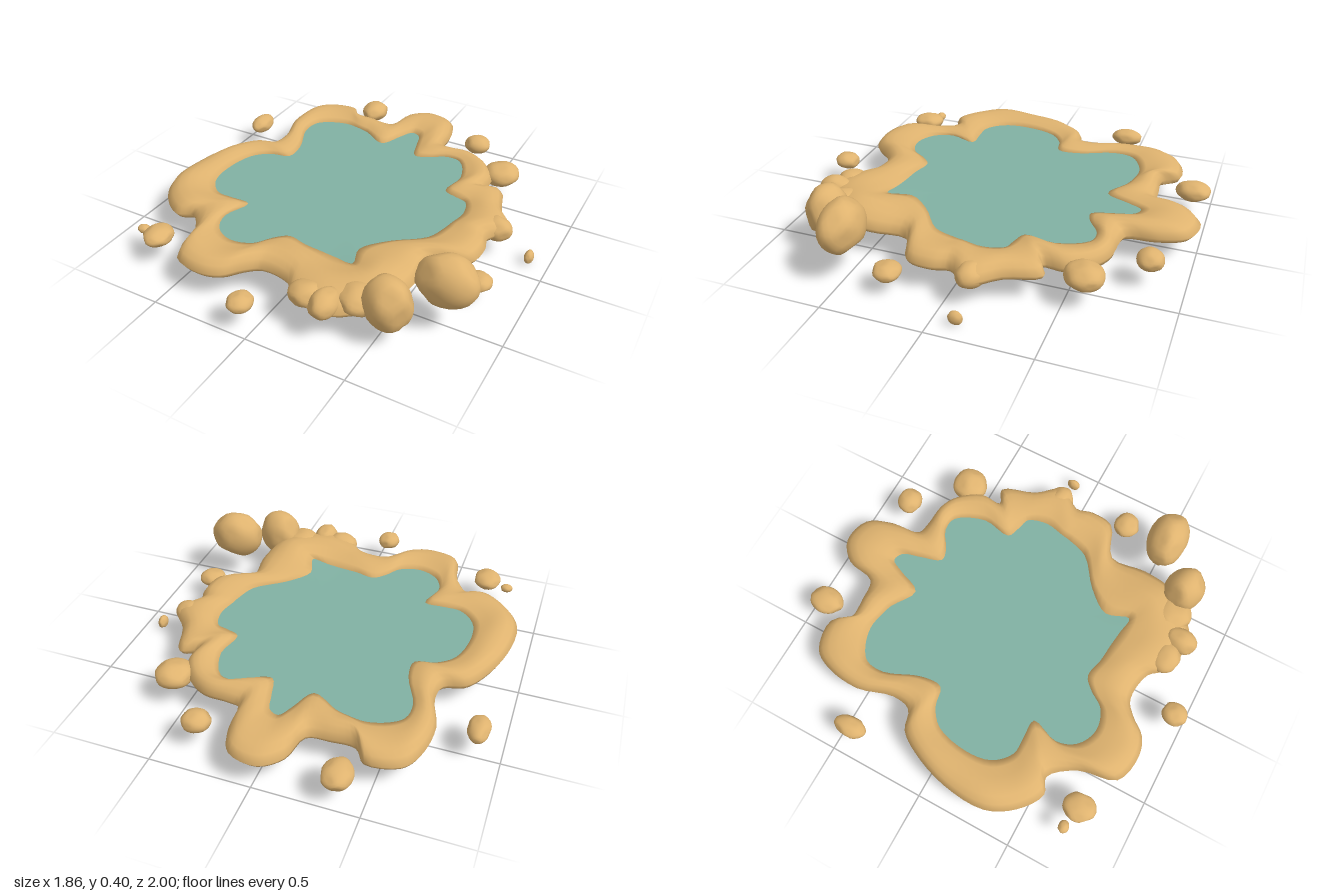
import * as THREE from 'three';
import { mergeVertices } from 'three/addons/utils/BufferGeometryUtils.js';

// Shore outlines as x, z pairs; both lists run the same way and match point by point.
const INNER = [
  -0.02, -0.71, 0.03, -0.69, 0.06, -0.6, 0.1, -0.49, 0.16, -0.5, 0.26, -0.56, 0.34, -0.55,
  0.41, -0.4, 0.39, -0.25, 0.46, -0.22, 0.52, -0.2, 0.55, -0.1, 0.53, 0, 0.52, 0.05,
  0.48, 0.16, 0.33, 0.28, 0.24, 0.4, 0.27, 0.52, 0.18, 0.51, 0.1, 0.5, 0, 0.49,
  -0.1, 0.47, -0.16, 0.52, -0.22, 0.6, -0.33, 0.63, -0.43, 0.58, -0.47, 0.48, -0.43, 0.34,
  -0.53, 0.335, -0.62, 0.33, -0.7, 0.25, -0.72, 0.12, -0.68, -0.05, -0.6, -0.12, -0.5, -0.15,
  -0.5, -0.26, -0.57, -0.44, -0.56, -0.54, -0.5, -0.59, -0.4, -0.62, -0.32, -0.61, -0.25, -0.59,
  -0.12, -0.52, -0.06, -0.64,
];
const OUTER = [
  -0.03, -1, 0.11, -0.97, 0.17, -0.84, 0.19, -0.69, 0.26, -0.67, 0.38, -0.66, 0.47, -0.61,
  0.55, -0.5, 0.55, -0.39, 0.63, -0.42, 0.7, -0.25, 0.8, -0.12, 0.72, -0.01, 0.74, 0.08,
  0.72, 0.2, 0.55, 0.29, 0.56, 0.48, 0.52, 0.66, 0.32, 0.84, 0.12, 0.8, 0.05, 0.73,
  -0.1, 0.71, -0.17, 0.76, -0.24, 0.84, -0.34, 0.87, -0.49, 0.83, -0.54, 0.64, -0.64, 0.52,
  -0.72, 0.55, -0.84, 0.47, -0.92, 0.33, -0.91, 0.1, -0.84, -0.1, -0.77, -0.2, -0.67, -0.24,
  -0.65, -0.34, -0.7, -0.52, -0.68, -0.7, -0.62, -0.8, -0.46, -0.83, -0.4, -0.75, -0.28, -0.75,
  -0.17, -0.77, -0.13, -0.92,
];
// Bank cross-section: fraction from inner to outer shore, height
const BANK = [
  [0, 0.179], [0.15, 0.19], [0.35, 0.203], [0.55, 0.208], [0.74, 0.201], [0.89, 0.182],
  [1, 0.148], [0.94, 0.124], [0.7, 0.115], [0.35, 0.117], [0, 0.126],
];
const WATER_TOP = 0.177, WATER_BED = 0.128;
// Rocks: name, centre x y z, radii x y z
const ROCKS = [
  ['largeBoulder', 0.73, 0.265, 0.51, 0.15, 0.13, 0.105],
  ['tallBoulder', 0.54, 0.205, 0.7, 0.115, 0.138, 0.102],
  ['frontLump', 0.18, 0.165, 0.77, 0.09, 0.055, 0.075],
  ['frontLump', 0.29, 0.175, 0.8, 0.065, 0.064, 0.09],
  ['frontLump', 0.4, 0.175, 0.7, 0.1, 0.062, 0.1],
  ['backLump', 0.57, 0.15, -0.585, 0.097, 0.06, 0.095],
  ['sideLump', 0.725, 0.145, -0.11, 0.08, 0.062, 0.07],
  ['looseRock', -0.37, 0.135, -0.915, 0.072, 0.051, 0.09],
  ['looseRock', 0.335, 0.14, -0.83, 0.073, 0.05, 0.066],
  ['looseRock', -0.88, 0.135, -0.45, 0.053, 0.045, 0.085],
  ['looseRock', 0.78, 0.108, 0.27, 0.072, 0.042, 0.069],
  ['looseRock', -0.06, 0.138, 0.935, 0.061, 0.043, 0.067],
  ['looseRock', -0.69, 0.138, 0.725, 0.072, 0.043, 0.083],
  ['pebble', -0.805, 0.12, 0.7, 0.033, 0.022, 0.027],
  ['pebble', 0.903, 0.036, -0.11, 0.023, 0.035, 0.036],
];

// Smooth closed outline sampled evenly between matching points
function outline(pairs, steps) {
  const pts = [];
  for (let i = 0; i < pairs.length; i += 2) pts.push(new THREE.Vector3(pairs[i], 0, pairs[i + 1]));
  const curve = new THREE.CatmullRomCurve3(pts, true, 'centripetal');
  return Array.from({ length: pts.length * steps }, (_, i) => curve.getPoint(i / (pts.length * steps)));
}

// Ground rises towards the front lumps
const swell = (x, z) => 0.026 * Math.exp(-((x - 0.4) ** 2 + (z - 0.62) ** 2) / 0.03);

// Skin over a closed loop of cross-sections; each section may itself be closed
function skin(rows, closed) {
  const n = rows.length, m = rows[0].length, idx = [];
  for (let i = 0; i < n; i++) {
    for (let j = 0; j < (closed ? m : m - 1); j++) {
      const a = i * m + j, b = ((i + 1) % n) * m + j, step = (j + 1) % m - j;
      idx.push(a, b, a + step, b, b + step, a + step);
    }
  }
  const g = new THREE.BufferGeometry().setFromPoints(rows.flat());
  g.setIndex(idx);
  g.computeVertexNormals();
  return g;
}

// One bank section; the upper side is slightly uneven
function bankSection(inner, outer) {
  return BANK.map(([t, h]) => {
    const p = inner.clone().lerp(outer, t);
    const bump = 0.007 * Math.sin(p.x * 17 + 1) * Math.sin(p.z * 15) * Math.sin(Math.PI * t);
    p.y = h > 0.14 ? h + bump + swell(p.x, p.z) : h;
    return p;
  });
}

// One strip of water from the middle to just inside the bank's inner edge
function waterSection(inner, outer, height, rise) {
  const edge = inner.clone().lerp(outer, 0.02);
  return [0, 0.35, 0.65, 0.85, 1].map((t) => {
    const p = edge.clone().multiplyScalar(t);
    p.y = height + rise * swell(p.x, p.z);
    return p;
  });
}

// Rock: a squashed, gently uneven ball with worn flat sides
function rockGeometry(rx, ry, rz, seed) {
  let g = new THREE.IcosahedronGeometry(1, 4);
  g.deleteAttribute('normal');
  g.deleteAttribute('uv');
  g = mergeVertices(g, 1e-4);
  const cuts = Array.from({ length: 14 }, (_, i) => {
    const y = 1 - (i + 0.5) / 7, a = i * 2.4 + seed * 1.3, r = Math.sqrt(1 - y * y);
    return new THREE.Vector3(r * Math.cos(a), y, r * Math.sin(a));
  });
  const p = g.attributes.position, v = new THREE.Vector3();
  for (let i = 0; i < p.count; i++) {
    v.fromBufferAttribute(p, i);
    let k = 1 + 0.03 * Math.sin(v.x * 3.1 + v.z * 2 + seed * 2.3);
    cuts.forEach((c, j) => {
      const d = v.dot(c);
      if (d > 0.3) k = Math.min(k, (0.93 + 0.04 * Math.sin(j * 5 + seed)) / d);
    });
    p.setXYZ(i, v.x * k * rx, v.y * k * ry, v.z * k * rz);
  }
  g.computeVertexNormals();
  return g;
}

export function createModel() {
  const sand = new THREE.MeshStandardMaterial({ color: 0xdfb36f });
  sand.name = 'sand';
  const water = new THREE.MeshStandardMaterial({ color: 0x81b1a3, side: THREE.DoubleSide });
  water.name = 'water';

  const model = new THREE.Group();
  model.name = 'pond';
  const add = (name, geometry, material) => {
    const mesh = new THREE.Mesh(geometry, material);
    mesh.name = name;
    model.add(mesh);
    return mesh;
  };

  // Bank, water surface and the underside of the pool
  const inner = outline(INNER, 4), outer = outline(OUTER, 4);
  add('bank', skin(inner.map((p, i) => bankSection(p, outer[i])), true), sand);
  add('waterSurface', skin(inner.map((p, i) => waterSection(p, outer[i], WATER_TOP, 1)), false), water);
  add('waterBed', skin(inner.map((p, i) => waterSection(p, outer[i], WATER_BED, 0)), false), water);

  // Boulders, lumps and loose rocks around the shore
  ROCKS.forEach(([name, x, y, z, rx, ry, rz], i) => {
    add(name, rockGeometry(rx, ry, rz, i + 1), sand).position.set(x, y, z);
  });
  return model;
}
